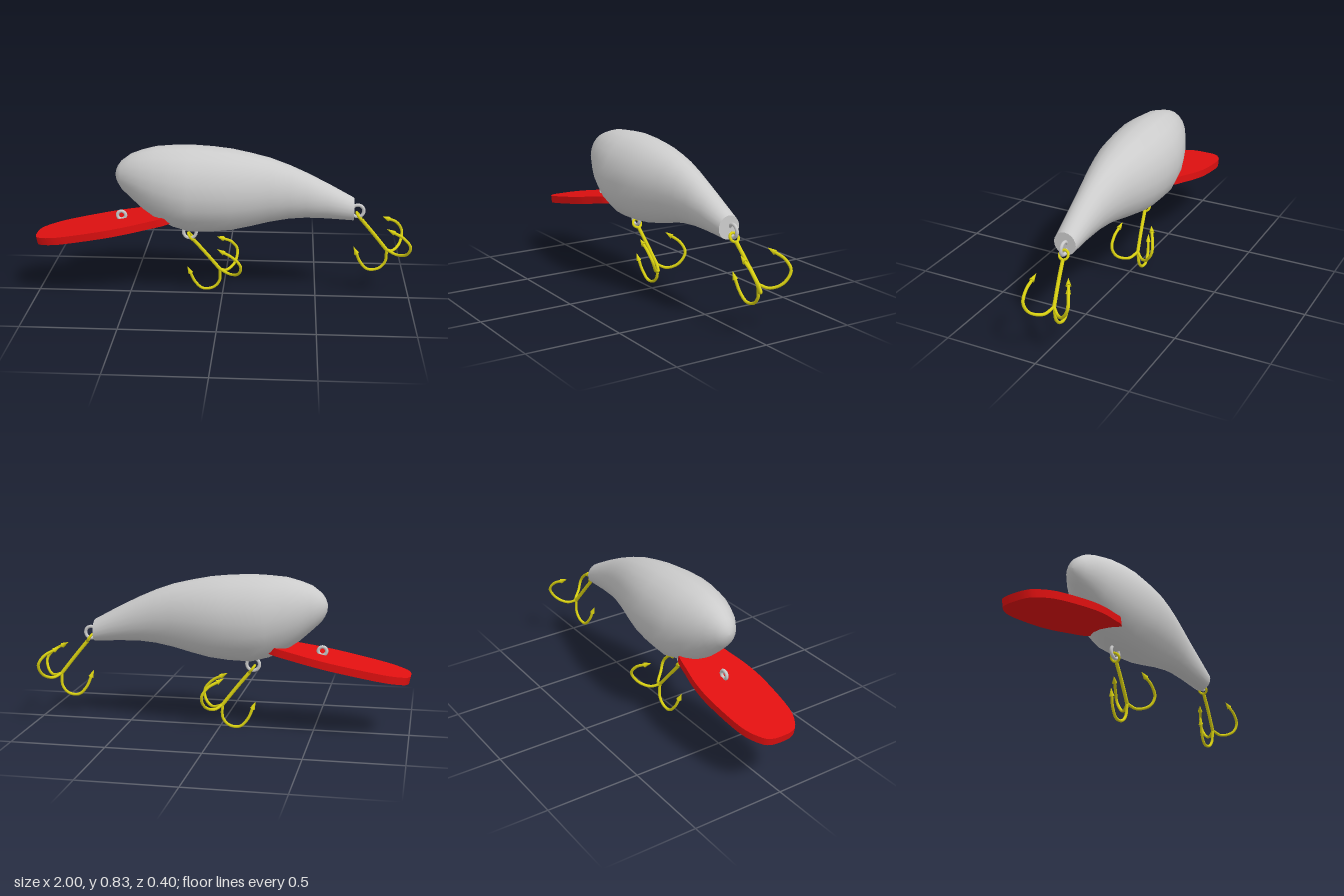
import * as THREE from 'three';
import { toCreasedNormals } from 'three/addons/utils/BufferGeometryUtils.js';

const grey = new THREE.MeshStandardMaterial({ color: 0xcccccc });
const red = new THREE.MeshStandardMaterial({ color: 0xe01010 });
const yellow = new THREE.MeshStandardMaterial({ color: 0xd8d010 });

function addMesh(parent, name, geometry, material) {
  const mesh = new THREE.Mesh(geometry, material);
  mesh.name = name;
  parent.add(mesh);
  return mesh;
}

// Elliptical sections along x: [x, top, bottom, half width]
const SECTIONS = [
  [-0.562, 0.667, 0.667, 0], [-0.56, 0.69, 0.645, 0.02], [-0.55, 0.715, 0.62, 0.042], [-0.53, 0.742, 0.588, 0.065],
  [-0.48, 0.78, 0.54, 0.1], [-0.42, 0.802, 0.485, 0.13], [-0.35, 0.82, 0.435, 0.16],
  [-0.26, 0.827, 0.39, 0.186], [-0.17, 0.83, 0.365, 0.198], [-0.05, 0.823, 0.368, 0.193],
  [0.05, 0.812, 0.378, 0.18], [0.15, 0.792, 0.4, 0.158], [0.25, 0.768, 0.425, 0.132],
  [0.35, 0.732, 0.443, 0.108], [0.44, 0.692, 0.45, 0.09], [0.55, 0.637, 0.448, 0.075],
  [0.69, 0.56, 0.44, 0.06],
];

function bodyGeometry(sides = 20) {
  const positions = [], index = [];
  SECTIONS.forEach(([x, top, bottom, half], i) => {
    for (let j = 0; j < sides; j++) {
      const a = (j / sides) * Math.PI * 2;
      positions.push(x, (top + bottom) / 2 + Math.cos(a) * (top - bottom) / 2, Math.sin(a) * half);
      if (i === 0) continue;
      const k = (j + 1) % sides;
      const p = (i - 1) * sides, q = i * sides;
      index.push(p + j, p + k, q + j, p + k, q + k, q + j);
    }
  });
  const g = new THREE.BufferGeometry();
  g.setAttribute('position', new THREE.Float32BufferAttribute(positions, 3));
  g.setIndex(index);
  g.computeVertexNormals();
  return g;
}

// Rounded flat plate, tilted down towards its free end
function lipGeometry() {
  const half = [[0, 0], [0.005, 0.055], [0.035, 0.1], [0.14, 0.147], [0.36, 0.167],
    [0.5, 0.16], [0.62, 0.137], [0.7, 0.12], [0.75, 0.09]];
  const side = new THREE.SplineCurve(half.map(([u, v]) => new THREE.Vector2(u, v))).getPoints(32);
  const mirrored = side.slice(1).reverse().map((p) => new THREE.Vector2(p.x, -p.y));
  const g = new THREE.ExtrudeGeometry(new THREE.Shape([...side, ...mirrored]), { depth: 0.04, bevelEnabled: false });
  g.translate(0, 0, -0.02).rotateX(-Math.PI / 2).rotateZ(0.192).translate(-0.996, 0.31, 0);
  return toCreasedNormals(g, 0.6);
}

function wire(points, radius, segments) {
  const curve = new THREE.CatmullRomCurve3(points.map((p) => new THREE.Vector3(...p)));
  return new THREE.TubeGeometry(curve, segments, radius, 8);
}

const SHANK_END = [0.875, 0.26, -0.04];
const PRONGS = [
  [[0.87, 0.19, -0.045], [0.835, 0.152, -0.045], [0.78, 0.147, -0.042], [0.737, 0.19, -0.034], [0.712, 0.25, -0.024]],
  [[0.93, 0.242, -0.015], [0.978, 0.265, 0.035], [0.99, 0.315, 0.058], [0.95, 0.365, 0.064], [0.895, 0.395, 0.06]],
  [[0.91, 0.243, -0.08], [0.95, 0.268, -0.13], [0.962, 0.33, -0.166], [0.93, 0.38, -0.153], [0.88, 0.408, -0.125]],
];

function trebleHook(name) {
  const hook = new THREE.Group();
  hook.name = name;
  const eye = new THREE.TorusGeometry(0.024, 0.007, 8, 20);
  eye.rotateY(Math.PI / 2).rotateZ(0.627).translate(0.72, 0.457, -0.01);
  addMesh(hook, 'hookEye', eye, yellow);
  addMesh(hook, 'shank', wire([[0.734, 0.438, -0.012], [0.8, 0.357, -0.024], SHANK_END], 0.01, 8), yellow);
  for (const points of PRONGS) {
    addMesh(hook, 'prong', wire([SHANK_END, ...points], 0.008, 28), yellow);
    // Barbed point continuing the last stretch of wire
    const end = new THREE.Vector3(...points[4]);
    const dir = end.clone().sub(new THREE.Vector3(...points[3])).normalize();
    const barb = addMesh(hook, 'barb', new THREE.ConeGeometry(0.014, 0.045, 8), yellow);
    barb.position.copy(end).addScaledVector(dir, 0.014);
    barb.quaternion.setFromUnitVectors(new THREE.Vector3(0, 1, 0), dir);
  }
  return hook;
}

export function createModel() {
  const model = new THREE.Group();
  model.name = 'fishingLure';

  addMesh(model, 'body', bodyGeometry(), grey);
  const cap = addMesh(model, 'tailCap', new THREE.CircleGeometry(0.06, 20), grey);
  cap.rotation.y = Math.PI / 2;
  cap.position.set(0.69, 0.5, 0);
  addMesh(model, 'divingLip', lipGeometry(), red);

  // Line tie, belly eyelet and tail eyelet
  const eyelets = [['lineTie', -0.54, 0.437, 0.022], ['bellyEyelet', -0.175, 0.35, 0.034], ['tailEyelet', 0.712, 0.487, 0.032]];
  for (const [name, x, y, r] of eyelets) {
    addMesh(model, name, new THREE.TorusGeometry(r, 0.009, 8, 20), grey).position.set(x, y, -0.008);
  }

  const tailHook = trebleHook('tailHook');
  const bellyHook = trebleHook('bellyHook');
  bellyHook.position.set(-0.89, -0.133, 0);
  model.add(tailHook, bellyHook);
  return model;
}
